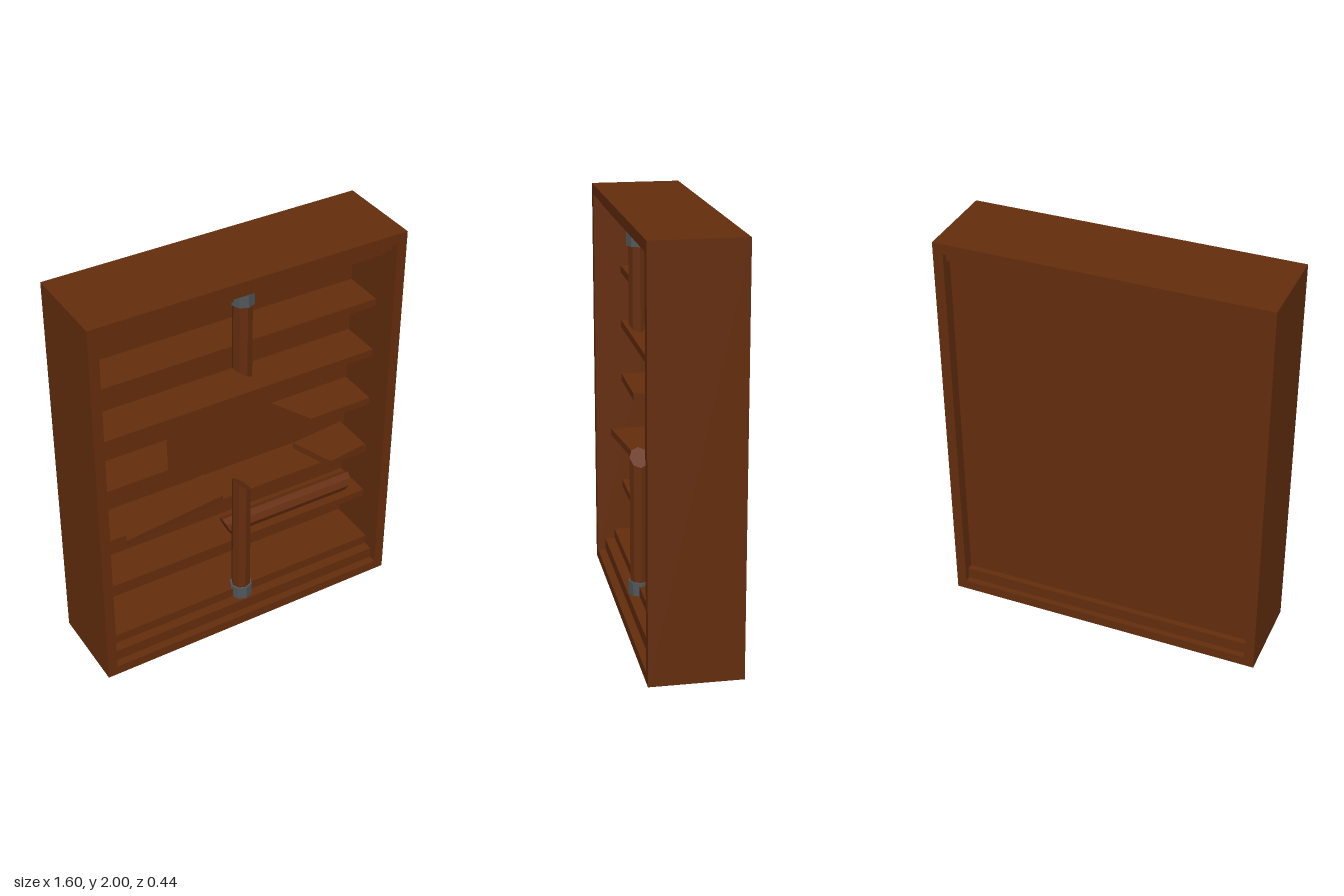
import * as THREE from 'three';

export function createModel() {
  const model = new THREE.Group();
  model.name = 'brokenBookcase';
  const wood = new THREE.MeshStandardMaterial({ name: 'brown wood', color: 0x642d0d, flatShading: true });
  const iron = new THREE.MeshStandardMaterial({ name: 'grey iron', color: 0x50565a, flatShading: true });

  function add(name, geometry, material = wood) {
    const mesh = new THREE.Mesh(geometry, material);
    mesh.name = name;
    model.add(mesh);
    return mesh;
  }

  // Box given by its low and high limits on each axis
  function box(name, x0, x1, y0, y1, z0, z1, material) {
    const mesh = add(name, new THREE.BoxGeometry(x1 - x0, y1 - y0, z1 - z0), material);
    mesh.position.set((x0 + x1) / 2, (y0 + y1) / 2, (z0 + z1) / 2);
    return mesh;
  }

  // Board cut to a plan outline of [x, z] points
  function board(name, y0, y1, outline) {
    const shape = new THREE.Shape(outline.map(([x, z]) => new THREE.Vector2(x, -z)));
    const geometry = new THREE.ExtrudeGeometry(shape, { depth: y1 - y0, bevelEnabled: false });
    geometry.rotateX(-Math.PI / 2);
    add(name, geometry).position.y = y0;
  }

  // Eight-sided post whose two ends can be sawn at a slant (height changes with x)
  function postGeometry(y0, y1, slope0, slope1, radius = 0.047) {
    const geometry = new THREE.CylinderGeometry(radius, radius, 2, 8);
    const p = geometry.attributes.position;
    for (let i = 0; i < p.count; i++) {
      p.setY(i, p.getY(i) < 0 ? y0 + slope0 * p.getX(i) : y1 + slope1 * p.getX(i));
    }
    geometry.computeVertexNormals();
    return geometry;
  }

  // Outer frame
  for (const s of [-1, 1]) {
    box('sideWall', Math.min(s * 0.75, s * 0.8), Math.max(s * 0.75, s * 0.8), 0, 2, -0.22, 0.22);
  }
  box('topBoard', -0.75, 0.75, 1.95, 2, -0.22, 0.22);
  box('bottomBoard', -0.75, 0.75, 0.04, 0.05, -0.22, 0.22);
  box('frontSkirt', -0.75, 0.75, 0, 0.04, 0.21, 0.22);
  box('backSkirt', -0.75, 0.75, 0, 0.04, -0.22, -0.21);
  box('backPanel', -0.75, 0.75, 0.05, 1.95, -0.16, -0.12);

  // Stepped rails and end shelves at top and bottom
  box('bottomRail', -0.75, 0.75, 0.05, 0.11, -0.19, 0.18);
  box('topRail', -0.75, 0.75, 1.9, 1.95, -0.19, 0.18);
  box('bottomShelf', -0.75, 0.75, 0.11, 0.16, -0.12, 0.13);
  box('topShelf', -0.75, 0.75, 1.85, 1.9, -0.12, 0.13);

  // Whole shelves
  for (const y of [0.4, 0.685, 1.265, 1.55]) {
    box('shelf', -0.75, 0.75, y, y + 0.037, -0.12, 0.086);
  }

  // Snapped shelf and its fallen pieces
  board('brokenShelfRight', 0.98, 1.017, [[-0.75, 0.086], [-0.375, 0.086], [-0.27, -0.12], [-0.75, -0.12]]);
  board('brokenShelfLeft', 0.98, 1.017, [[0.41, 0.086], [0.75, 0.086], [0.75, -0.12], [0.31, -0.12]]);
  board('fallenBoardRight', 0.722, 0.757, [[-0.64, 0.16], [-0.09, 0.1], [-0.09, -0.09], [-0.54, -0.03]]);
  board('fallenBoardLeft', 0.722, 0.757, [[0.5, 0.14], [0.72, 0.11], [0.72, -0.11], [0.42, -0.08]]);

  // Snapped centre post with iron collars
  add('lowerPost', postGeometry(0.12, 0.805, 0, -0.8)).position.z = 0.12;
  add('upperPost', postGeometry(1.46, 1.89, -0.6, 0)).position.z = 0.12;
  add('lowerCollar', postGeometry(0.11, 0.178, 0, 0, 0.056), iron).position.z = 0.12;
  add('upperCollar', postGeometry(1.83, 1.895, 0, 0, 0.056), iron).position.z = 0.12;

  // Fallen length of post lying on a shelf
  const fallen = add('fallenPost', postGeometry(-0.67, 0.03, -0.5, 0.4));
  fallen.rotation.z = Math.PI / 2;
  fallen.position.set(0, 0.484, 0.02);

  return model;
}
